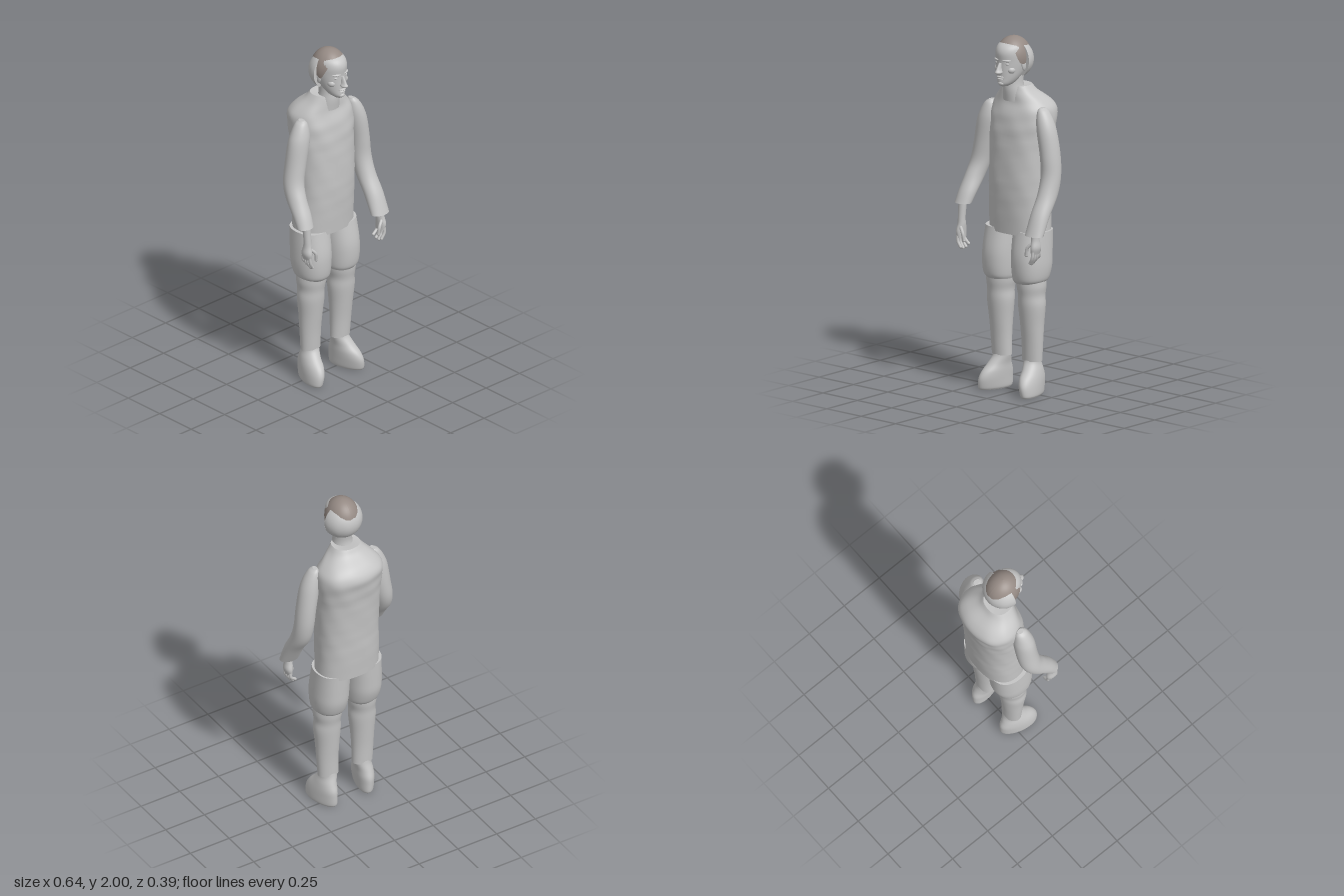
import * as THREE from 'three';

const gray = new THREE.MeshStandardMaterial({ name: 'plain gray', color: 0xc4c4c4, side: THREE.DoubleSide });
const brown = new THREE.MeshStandardMaterial({ name: 'hair brown', color: 0x958a84, side: THREE.DoubleSide });

function add(parent, name, geometry, material = gray) {
  const mesh = new THREE.Mesh(geometry, material);
  mesh.name = name;
  parent.add(mesh);
  return mesh;
}

// Smooth skin through horizontal rings [y, centre x, centre z, radius x, radius z], listed bottom to top
function loft(rings, { power = 1, steps = 5, seg = 36, rule = null } = {}) {
  const n = rings.length;
  const curve = new THREE.CubicInterpolant(rings.map((_, i) => i), rings.flat(), 5, new Float32Array(5));
  const pos = [], index = [], rows = (n - 1) * steps;
  const soft = (v) => Math.sign(v) * Math.abs(v) ** power;
  for (let i = 0; i <= rows; i++) {
    const [y, cx, cz, rx, rz] = i === rows ? rings[n - 1] : curve.evaluate(i / steps);
    for (let j = 0; j < seg; j++) {
      const a = (j / seg) * Math.PI * 2;
      const p = new THREE.Vector3(cx + rx * soft(Math.sin(a)), y, cz + rz * soft(Math.cos(a)));
      if (rule) rule(p, a, i / rows);
      pos.push(p.x, p.y, p.z);
      if (i < rows) {
        const k = i * seg, m = (j + 1) % seg;
        index.push(k + j, k + m, k + seg + m, k + j, k + seg + m, k + seg + j);
      }
    }
  }
  // Flat end caps on their own vertices
  for (const row of [0, rows]) {
    const base = pos.length / 3, c = [0, 0, 0];
    for (let j = 0; j < seg; j++) {
      for (let k = 0; k < 3; k++) {
        const v = pos[(row * seg + j) * 3 + k];
        pos.push(v);
        c[k] += v / seg;
      }
    }
    pos.push(...c);
    for (let j = 0; j < seg; j++) {
      const a = base + j, b = base + (j + 1) % seg;
      index.push(...(row ? [a, b, base + seg] : [b, a, base + seg]));
    }
  }
  const g = new THREE.BufferGeometry();
  g.setAttribute('position', new THREE.Float32BufferAttribute(pos, 3));
  g.setIndex(index);
  g.computeVertexNormals();
  return g;
}

function ellipsoid(parent, name, x, y, z, rx, ry, rz, material) {
  const mesh = add(parent, name, new THREE.SphereGeometry(1, 20, 14), material);
  mesh.position.set(x, y, z);
  mesh.scale.set(rx, ry, rz);
  return mesh;
}

// Dome whose lower edge follows a rule; angle 0 faces the front
function dome(center, radii, from, to, edge) {
  const pos = [], index = [], U = 48, V = 12;
  for (let i = 0; i <= V; i++) for (let j = 0; j <= U; j++) {
    const a = from + (to - from) * j / U, t = edge(a) * i / V;
    pos.push(center[0] + radii[0] * Math.sin(t) * Math.sin(a), center[1] + radii[1] * Math.cos(t),
      center[2] + radii[2] * Math.sin(t) * Math.cos(a));
    if (i < V && j < U) {
      const k = i * (U + 1) + j, m = k + U + 1;
      index.push(k, m, k + 1, k + 1, m, m + 1);
    }
  }
  const g = new THREE.BufferGeometry();
  g.setAttribute('position', new THREE.Float32BufferAttribute(pos, 3));
  g.setIndex(index);
  g.computeVertexNormals();
  return g;
}

// Hand hanging from the wrist; s is +1 for the left side
function hand(parent, s, x, y, z, wrist) {
  const g = new THREE.Group();
  g.name = s > 0 ? 'leftHand' : 'rightHand';
  g.position.set(x, y, z);
  add(g, 'palm', loft([
    [-0.105, 0, 0, 0.017, 0.032], [-0.07, 0.004 * s, 0, 0.023, 0.036],
    [-0.03, 0, 0, 0.022, 0.026], [0.01, 0, 0, 0.021, 0.022], [wrist, 0, -0.01, 0.024, 0.025]], { seg: 18 }));
  const finger = (name, pts, r) => {
    const c = new THREE.CatmullRomCurve3(pts.map((p) => new THREE.Vector3(p[0] * s, p[1], p[2])));
    add(g, name, new THREE.TubeGeometry(c, 8, r, 8));
    const e = c.getPoint(1);
    ellipsoid(g, name + 'Tip', e.x, e.y, e.z, r, r, r);
  };
  for (let i = 0; i < 4; i++) {
    const fz = 0.026 - i * 0.0175, len = [0.055, 0.062, 0.057, 0.043][i];
    finger('finger', [[0.006, -0.09, fz], [0.003, -0.1 - len * 0.45, fz * 1.1], [-0.014 - 0.004 * i, -0.1 - len, fz]], 0.0088);
  }
  finger('thumb', [[-0.008, -0.045, 0.018], [-0.033, -0.075, 0.03], [-0.04, -0.115, 0.028]], 0.0095);
  parent.add(g);
}

export function createModel() {
  const model = new THREE.Group();
  model.name = 'standingFigure';

  // Pullover with a rumpled surface and a notch at the front of the collar
  add(model, 'torso', loft([
    [0.9, 0.004, -0.02, 0.184, 0.125], [1.05, 0.004, -0.02, 0.182, 0.135], [1.2, 0.007, -0.02, 0.182, 0.14],
    [1.4, 0.007, -0.03, 0.185, 0.143], [1.52, 0.009, -0.042, 0.19, 0.145], [1.59, 0.008, -0.053, 0.188, 0.14],
    [1.64, 0.004, -0.045, 0.158, 0.118], [1.69, 0, -0.015, 0.107, 0.085], [1.725, 0, -0.003, 0.08, 0.07]],
  {
    power: 0.85, seg: 60,
    rule: (p, a, t) => {
      const w = Math.sin(t * Math.PI) * 0.0025 * Math.sin(p.y * 47 + 3 * a) * Math.sin(p.y * 19 - 5 * a);
      p.x += Math.sin(a) * w;
      p.z += Math.cos(a) * w;
      const front = Math.max(0, 1 - Math.abs(p.x) / 0.055) * (Math.cos(a) > 0 ? 1 : 0);
      p.y -= 0.055 * front * THREE.MathUtils.smoothstep(t, 0.85, 1);
    },
  }));

  // Sleeves
  add(model, 'leftSleeve', loft([
    [0.94, 0.262, 0.158, 0.058, 0.04], [1.05, 0.262, 0.105, 0.056, 0.052], [1.15, 0.26, 0.045, 0.054, 0.06],
    [1.25, 0.257, 0.015, 0.055, 0.058], [1.36, 0.248, 0.01, 0.055, 0.06], [1.48, 0.228, 0.012, 0.055, 0.058],
    [1.55, 0.212, 0.012, 0.047, 0.05], [1.6, 0.198, 0.01, 0.03, 0.036], [1.62, 0.19, 0.008, 0.012, 0.02]]));
  add(model, 'rightSleeve', loft([
    [1.035, -0.275, 0.135, 0.05, 0.042], [1.1, -0.269, 0.1, 0.053, 0.052], [1.18, -0.263, 0.05, 0.053, 0.062],
    [1.26, -0.25, 0.018, 0.057, 0.06], [1.36, -0.229, 0.01, 0.06, 0.06], [1.48, -0.206, 0.01, 0.064, 0.058],
    [1.54, -0.194, 0.01, 0.055, 0.05], [1.59, -0.185, 0.008, 0.035, 0.036], [1.61, -0.18, 0.006, 0.014, 0.02]]));
  hand(model, 1, 0.268, 0.945, 0.155, 0.03);
  hand(model, -1, -0.272, 0.95, 0.15, 0.11);

  // Legs and shoes, mirrored
  for (const s of [-1, 1]) {
    const leg = new THREE.Group();
    leg.name = s > 0 ? 'leftLeg' : 'rightLeg';
    const place = (rings) => rings.map(([y, x, ...r]) => [y, x * s, ...r]);
    add(leg, 'shorts', loft(place([
      [0.63, 0.1, 0.01, 0.078, 0.088], [0.655, 0.105, 0.008, 0.092, 0.104], [0.72, 0.106, 0.002, 0.1, 0.118],
      [0.8, 0.104, -0.002, 0.101, 0.12], [0.92, 0.1, -0.015, 0.099, 0.112]]), { power: 0.9 }));
    add(leg, 'trouserLeg', loft(place([
      [0.19, 0.11, 0.002, 0.061, 0.047], [0.3, 0.113, 0.004, 0.064, 0.053], [0.4, 0.113, 0.006, 0.069, 0.063],
      [0.5, 0.113, 0.008, 0.077, 0.074], [0.56, 0.112, 0.008, 0.073, 0.078], [0.61, 0.11, 0.008, 0.08, 0.086],
      [0.66, 0.107, 0.008, 0.08, 0.09]])));
    add(leg, 'shoe', loft(place([
      [0.0, 0.132, 0.03, 0.043, 0.098], [0.015, 0.132, 0.03, 0.05, 0.107], [0.06, 0.13, 0.03, 0.053, 0.11],
      [0.1, 0.127, 0.022, 0.053, 0.101], [0.14, 0.122, 0.01, 0.05, 0.075], [0.18, 0.112, 0.002, 0.048, 0.053],
      [0.21, 0.11, 0, 0.05, 0.045]]), { rule: (p) => { p.x += s * 0.22 * (p.z - 0.02) * (1 - p.y / 0.21); } }));
    model.add(leg);
  }

  // Neck and head
  const head = new THREE.Group();
  head.name = 'head';
  add(head, 'neck', loft([
    [1.64, 0, 0.02, 0.07, 0.062], [1.7, 0, 0.028, 0.06, 0.06], [1.75, 0, 0.03, 0.053, 0.055],
    [1.82, 0, 0.025, 0.055, 0.06]]));
  add(head, 'skull', loft([
    [1.733, 0, 0.103, 0.022, 0.03], [1.75, 0, 0.088, 0.042, 0.055], [1.78, 0, 0.07, 0.06, 0.072],
    [1.82, 0, 0.052, 0.073, 0.09], [1.87, 0, 0.044, 0.081, 0.097], [1.92, 0, 0.042, 0.082, 0.102],
    [1.955, 0, 0.038, 0.072, 0.088], [1.98, 0, 0.035, 0.04, 0.05]]));
  // Nose, lips and chin
  add(head, 'nose', loft([
    [1.803, 0, 0.145, 0.011, 0.018], [1.813, 0, 0.152, 0.019, 0.027], [1.83, 0, 0.145, 0.012, 0.026],
    [1.865, 0, 0.135, 0.008, 0.016]], { seg: 18 }));
  ellipsoid(head, 'upperLip', 0, 1.786, 0.138, 0.025, 0.0055, 0.014);
  ellipsoid(head, 'lowerLip', 0, 1.774, 0.136, 0.021, 0.006, 0.014);
  ellipsoid(head, 'chin', 0, 1.749, 0.13, 0.021, 0.014, 0.018);
  // Brows, eyes, cheeks and ears
  for (const s of [-1, 1]) {
    const brow = ellipsoid(head, 'brow', s * 0.034, 1.879, 0.127, 0.026, 0.007, 0.013);
    brow.rotation.y = s * 0.45;
    ellipsoid(head, 'eye', s * 0.034, 1.86, 0.124, 0.014, 0.008, 0.01);
    ellipsoid(head, 'cheek', s * 0.044, 1.825, 0.1, 0.024, 0.022, 0.026);
    ellipsoid(head, 'ear', s * 0.082, 1.85, 0.035, 0.009, 0.034, 0.02);
  }

  // Hair cap, high at the forehead and lower at the temples, with an uneven edge
  add(head, 'hair', dome([0, 1.885, 0.033], [0.094, 0.115, 0.106], -Math.PI, Math.PI, (a) => {
    const f = Math.abs(a), side = Math.exp(-(((f - 1.35) / 0.5) ** 2));
    return 0.8 + 1.05 * side + (f > 1.35 ? 0.45 * (1 - side) : 0) + 0.03 * Math.sin(a * 13);
  }), brown);
  // Half shell around the back of the head, inner and outer skins
  const edge = (a) => 2.5 + 0.12 * Math.sin(a * 11);
  const h = Math.PI / 2;
  add(head, 'backShellOuter', dome([0, 1.872, 0.032], [0.113, 0.111, 0.11], h, 3 * h, edge));
  add(head, 'backShellInner', dome([0, 1.872, 0.032], [0.092, 0.1, 0.09], h, 3 * h, edge));
  // Rim closing the front of the shell
  const rim = new THREE.Shape();
  rim.absellipse(0, 0, 0.113, 0.111, -0.93, Math.PI + 0.93, false);
  rim.absellipse(0, 0, 0.092, 0.1, Math.PI + 0.93, -0.93, true);
  add(head, 'backShellRim', new THREE.ShapeGeometry(rim, 32)).position.set(0, 1.872, 0.032);
  model.add(head);
  return model;
}
